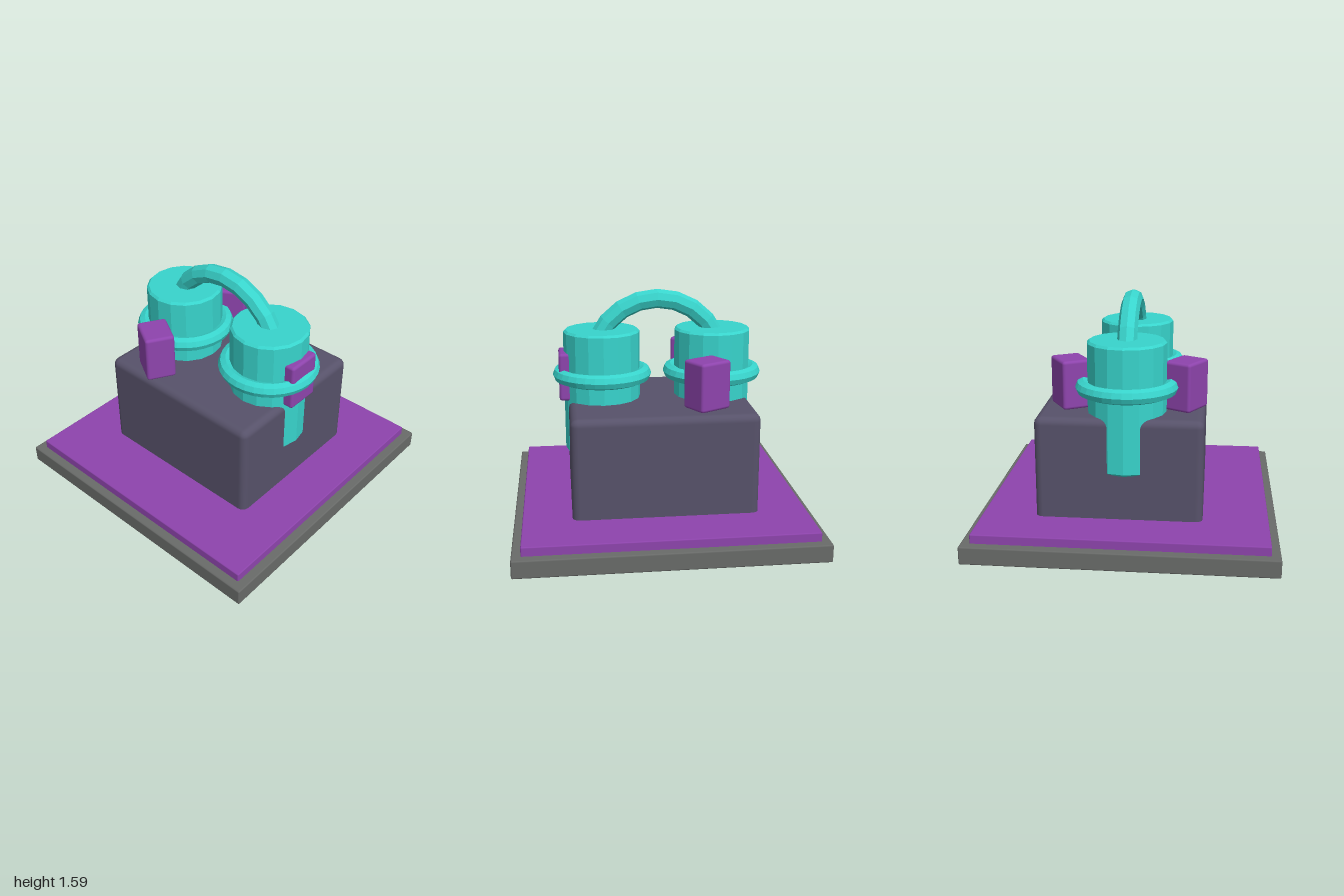
import * as THREE from 'three';
import { RoundedBoxGeometry } from 'three/addons/geometries/RoundedBoxGeometry.js';

// Give every face its own normal for a faceted look
function faceted(geometry) {
  const g = geometry.index ? geometry.toNonIndexed() : geometry;
  g.computeVertexNormals();
  return g;
}

export function createModel() {
  const group = new THREE.Group();
  const stone = new THREE.MeshStandardMaterial({ name: 'stone grey', color: 0x696b69 });
  const purple = new THREE.MeshStandardMaterial({ name: 'purple', color: 0x8e44ad });
  const slate = new THREE.MeshStandardMaterial({ name: 'slate', color: 0x57526a });
  const teal = new THREE.MeshStandardMaterial({ name: 'teal', color: 0x38d4cc });

  function add(name, geometry, material, x = 0, y = 0, z = 0) {
    const mesh = new THREE.Mesh(geometry, material);
    mesh.name = name;
    mesh.position.set(x, y, z);
    group.add(mesh);
    return mesh;
  }

  // Stepped base and main block
  add('base', new RoundedBoxGeometry(2, 0.12, 2, 1, 0.01), stone, 0, 0.06, 0);
  add('basePlate', new RoundedBoxGeometry(1.88, 0.08, 1.88, 1, 0.008), purple, 0, 0.14, 0);
  add('block', new RoundedBoxGeometry(1.23, 0.755, 1.095, 2, 0.05), slate, 0, 0.478, -0.035);

  // Twin cylinders with bevelled rims, each wearing a ring
  const profile = [[0, 0.48], [0.245, 0.48], [0.26, 0.495], [0.26, 1.31], [0.245, 1.325], [0, 1.325]]
    .map(([r, y]) => new THREE.Vector2(r, y));
  const cylinder = faceted(new THREE.LatheGeometry(profile, 16));
  const ring = faceted(new THREE.TorusGeometry(0.287, 0.05, 8, 32).rotateX(Math.PI / 2));
  for (const [side, x] of [['left', 0.38], ['right', -0.38]]) {
    add(side + 'Cylinder', cylinder, teal, x);
    add(side + 'Ring', ring, teal, x, 1.02);
  }

  // Arched pipe joining the cylinder tops
  const arc = Math.PI * 11 / 12;
  const arch = new THREE.TorusGeometry(0.44, 0.065, 8, 10, arc).rotateZ((Math.PI - arc) / 2);
  add('archPipe', faceted(arch), teal, 0, 1.085, 0);

  // Three small blocks set around the top, each turned outward
  const stud = new RoundedBoxGeometry(0.2, 0.325, 0.24, 2, 0.02);
  for (let i = 0; i < 3; i++) {
    const a = i * Math.PI * 2 / 3;
    const mesh = add('stud' + (i + 1), stud, purple, 0.575 * Math.cos(a), 1.018, 0.44 * Math.sin(a));
    mesh.rotation.y = -a;
  }
  return group;
}
